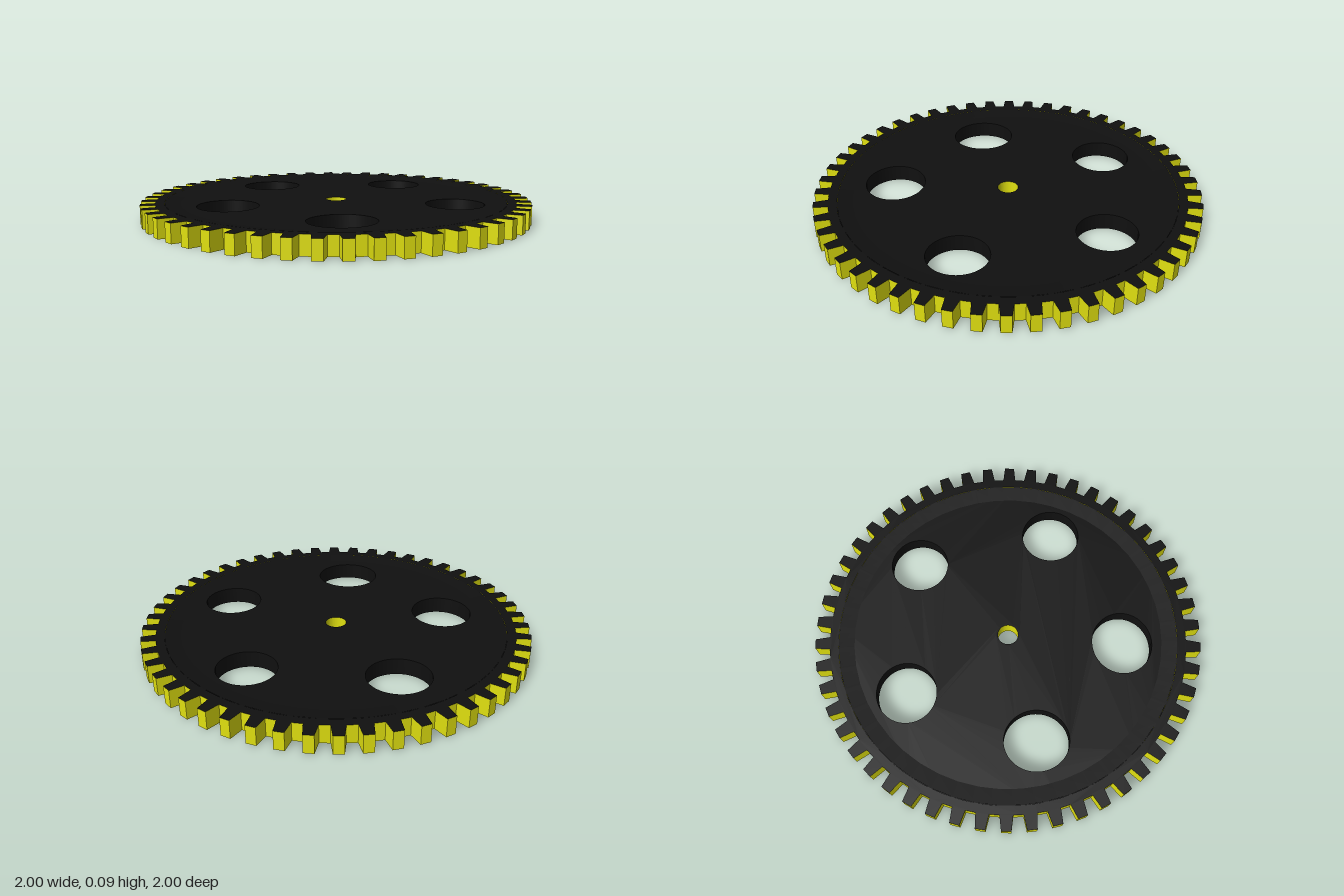
import * as THREE from 'three';

const HEIGHT = 0.094, FLOOR = 0.085, TEETH = 50;
const ROOT = 0.925, RIM = 0.88, FLOOR_RADIUS = 0.8, BORE = 0.053, HUB = 0.062;

const black = new THREE.MeshStandardMaterial({ color: 0x101010 });
const yellow = new THREE.MeshStandardMaterial({ color: 0xe0e010 });

// Closed ellipse used for outlines and cut-outs
function ellipse(Type, x, z, rx, rz = rx) {
  const path = new Type();
  path.absellipse(x, z, rx, rz, 0, Math.PI * 2);
  return path;
}

// Stands a flat outline (x, z) up from y = 0
function slab(name, shape, height, wallMaterial, curveSegments) {
  const geometry = new THREE.ExtrudeGeometry(shape, { depth: height, bevelEnabled: false, curveSegments });
  geometry.rotateX(Math.PI / 2).translate(0, height, 0);
  const mesh = new THREE.Mesh(geometry, [black, wallMaterial]);
  mesh.name = name;
  return mesh;
}

// Outline of tapered teeth with flat tips
function toothOutline() {
  const points = [];
  const corners = [[-0.036, ROOT], [-0.025, 1], [0.025, 1], [0.036, ROOT]];
  for (let i = 0; i < TEETH; i++) {
    const middle = -0.033 + (i / TEETH) * Math.PI * 2;
    for (const [offset, radius] of corners) {
      const a = middle + offset;
      points.push(new THREE.Vector2(Math.cos(a) * radius, Math.sin(a) * radius));
    }
  }
  return new THREE.Shape(points);
}

export function createModel() {
  const gear = new THREE.Group();
  gear.name = 'gear';

  // Toothed rim
  const rim = toothOutline();
  rim.holes.push(ellipse(THREE.Path, 0, 0, RIM));
  gear.add(slab('toothedRim', rim, HEIGHT, yellow, 48));

  // Web with five lightening holes: x, z, radius in x, radius in z
  const web = ellipse(THREE.Shape, 0, 0, RIM);
  const holes = [
    [-0.27, -0.54, 0.157, 0.153],
    [0.44, -0.44, 0.148, 0.15],
    [0.555, 0.28, 0.148, 0.152],
    [-0.095, 0.587, 0.165, 0.155],
    [-0.57, 0.095, 0.155, 0.165],
  ];
  for (const hole of holes) web.holes.push(ellipse(THREE.Path, ...hole));
  web.holes.push(ellipse(THREE.Path, 0, 0, HUB));
  gear.add(slab('web', web, FLOOR, black, 48));

  // Shallow slope from the rim down to the web
  const slope = new THREE.Mesh(new THREE.LatheGeometry([
    new THREE.Vector2(RIM, HEIGHT),
    new THREE.Vector2(FLOOR_RADIUS, FLOOR),
  ], 48), black);
  slope.name = 'rimSlope';
  gear.add(slope);

  // Hub around the axle bore
  const hub = ellipse(THREE.Shape, 0, 0, HUB);
  hub.holes.push(ellipse(THREE.Path, 0, 0, BORE));
  gear.add(slab('hub', hub, FLOOR, yellow, 48));

  return gear;
}
